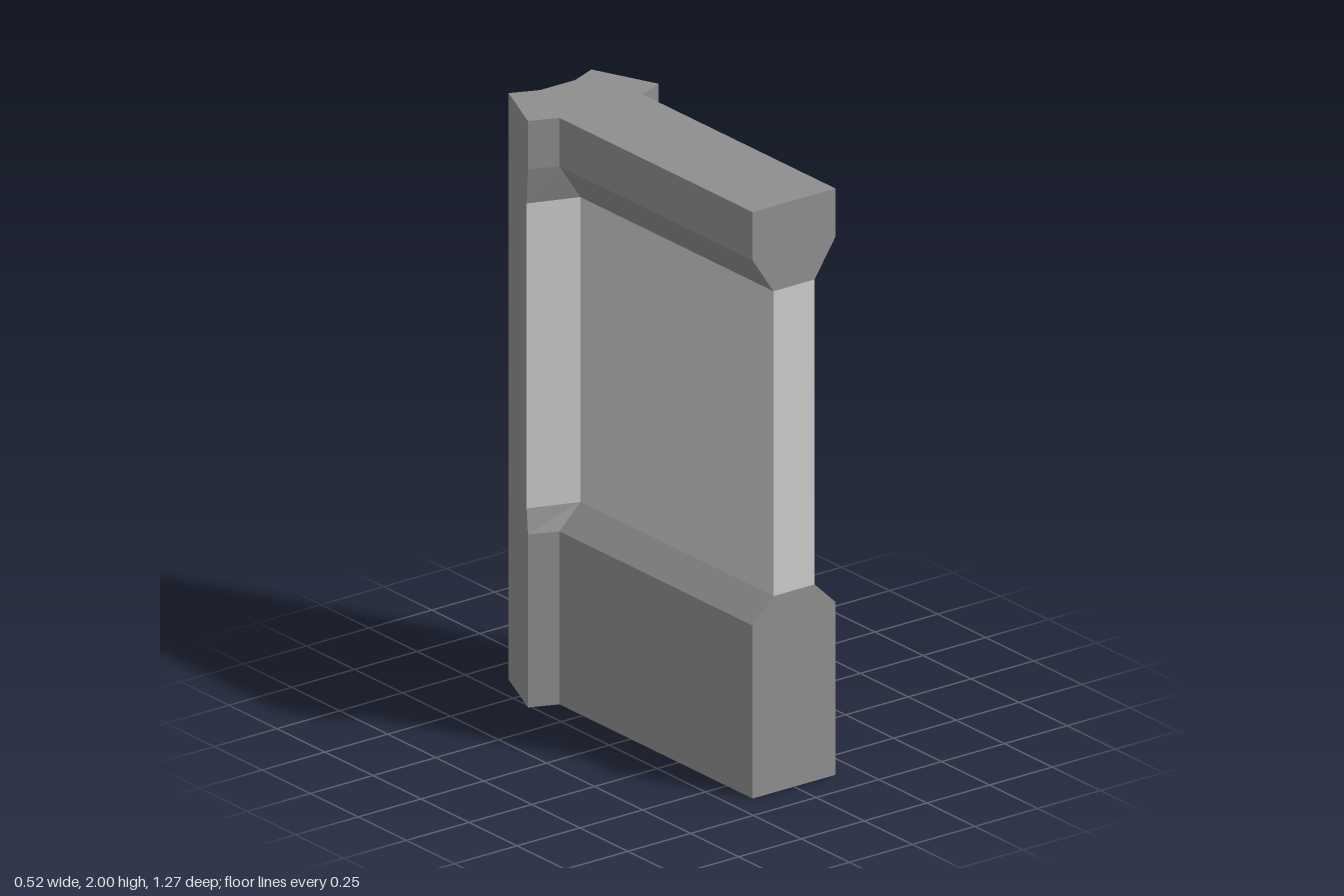
import * as THREE from 'three';

// Levels: y, half width of the wall, then x and z of the post's front corners (left, right)
const LEVELS = [
  [0, 0.165, 0.26, -0.41, -0.26],
  [0.59, 0.165, 0.26, -0.41, -0.26],
  [0.67, 0.082, 0.246, -0.43, -0.25],
  [1.71, 0.082, 0.236, -0.43, -0.25],
  [1.835, 0.165, 0.26, -0.41, -0.26],
  [2, 0.165, 0.26, -0.41, -0.26],
];

// Outline at one level: wall side, post side, fluted back, and round again
function ring([y, a, right, z, left]) {
  return [
    [a, 0.635], [a, -0.37], [right, z], [0.165, -0.635], [0.07, -0.595],
    [-0.07, -0.595], [-0.165, -0.635], [left, z], [-a, -0.37], [-a, 0.635],
  ].map(([px, pz]) => new THREE.Vector3(px, y, pz));
}

function mesh(name, points, color) {
  const geometry = new THREE.BufferGeometry().setFromPoints(points);
  geometry.computeVertexNormals();
  const material = new THREE.MeshStandardMaterial({ color });
  const m = new THREE.Mesh(geometry, material);
  m.name = name;
  return m;
}

// Band of quads between two outlines, limited to the chosen edges
function band(lower, upper, edges) {
  return edges.flatMap((i) => {
    const j = (i + 1) % lower.length;
    return [lower[i], lower[j], upper[j], lower[i], upper[j], upper[i]];
  });
}

function cap(outline, facesUp) {
  const flat = outline.map((p) => new THREE.Vector2(p.x, -p.z));
  return THREE.ShapeUtils.triangulateShape(flat, []).flatMap(([a, b, c]) =>
    (facesUp ? [a, b, c] : [a, c, b]).map((i) => outline[i]));
}

export function createModel() {
  const group = new THREE.Group();
  group.name = 'wallSegment';
  const rings = LEVELS.map(ring);
  const wallEdges = [0, 1, 7, 8, 9];
  const backEdges = [2, 3, 4, 5, 6];
  const dark = 0x8e8e8e;
  const light = 0xcccccc;

  // Plinth with its chamfer
  group.add(mesh('plinth', [
    ...cap(rings[0], false),
    ...band(rings[0], rings[1], wallEdges),
    ...band(rings[1], rings[2], wallEdges),
  ], dark));

  // Recessed pale panel
  group.add(mesh('panel', band(rings[2], rings[3], wallEdges), light));

  // Coping with its flared underside
  group.add(mesh('coping', [
    ...band(rings[3], rings[4], wallEdges),
    ...band(rings[4], rings[5], wallEdges),
    ...cap(rings[5], true),
  ], dark));

  // Full-height back of the post
  const back = [];
  for (let k = 0; k < rings.length - 1; k++) back.push(...band(rings[k], rings[k + 1], backEdges));
  group.add(mesh('postBack', back, dark));

  return group;
}
